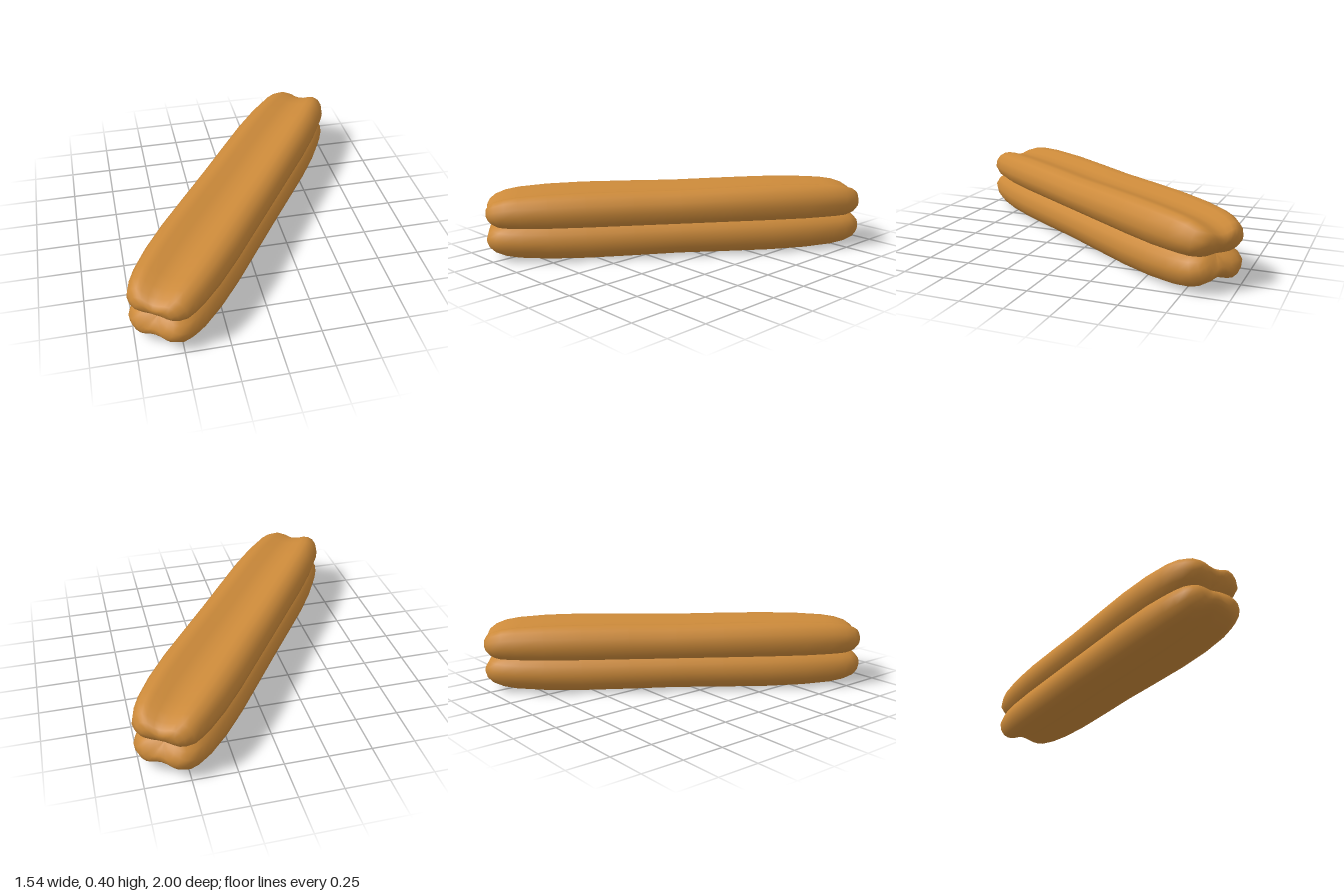
import * as THREE from 'three';

// Quarter of the four-lobed cross-section: side seam, round lobe, shallow middle groove
const QUARTER = [[0.195, 0], [0.228, 0.03], [0.245, 0.085], [0.233, 0.14], [0.2, 0.182],
  [0.155, 0.2], [0.11, 0.195], [0.055, 0.176], [0, 0.168]];

// Stations from the middle to one end: distance, width scale, height scale
const END = [[0.28, 1, 0.98], [0.56, 1, 0.99], [0.78, 0.965, 0.97], [0.95, 0.89, 0.92], [1.03, 0.82, 0.86],
  [1.09, 0.73, 0.76], [1.125, 0.58, 0.64], [1.14, 0.44, 0.5], [1.14, 0.28, 0.34], [1.135, 0.13, 0.16], [1.13, 0, 0]];

const SEAM_Y = 0.205;

// One half of the stick, lofted from seam to seam; side is 1 for upper, -1 for lower
function halfGeometry(side) {
  const section = [...QUARTER, ...QUARTER.slice(0, -1).reverse().map(([x, y]) => [-x, y])];
  const stations = [
    ...[...END].reverse().map(([z, w, h]) => [-z, w, h]),
    [0, 1, 0.96],
    ...END,
  ];
  const cols = section.length;
  const positions = [], index = [];
  stations.forEach(([z, w, h], i) => {
    section.forEach(([sx, sy], j) => {
      const x = sx * w * side;
      let y = sy * h;
      // the upper lobes lean gently from one end to the other
      if (side > 0) y *= 1 - 0.16 * x * z - 0.02 * z;
      // the ends dip inward along the seam
      const dip = Math.abs(z) > 0.9 ? 0.05 * Math.max(0, 1 - y / 0.08) ** 2 : 0;
      positions.push(x, SEAM_Y + y * side, z - Math.sign(z) * dip);
      if (i < stations.length - 1 && j < cols - 1) {
        const a = i * cols + j, c = a + cols;
        index.push(a, a + 1, c, a + 1, c + 1, c);
      }
    });
  });
  const geometry = new THREE.BufferGeometry();
  geometry.setAttribute('position', new THREE.Float32BufferAttribute(positions, 3));
  geometry.setIndex(index);
  geometry.computeVertexNormals();
  return geometry;
}

export function createModel() {
  const group = new THREE.Group();
  group.name = 'friedDoughStick';
  const dough = new THREE.MeshStandardMaterial({ color: 0xcc8a3a });
  dough.name = 'golden dough';

  // Two pressed strips of dough meeting in a sharp crease
  for (const [name, side] of [['upperDough', 1], ['lowerDough', -1]]) {
    const mesh = new THREE.Mesh(halfGeometry(side), dough);
    mesh.name = name;
    mesh.rotation.y = -0.607;
    group.add(mesh);
  }
  return group;
}
